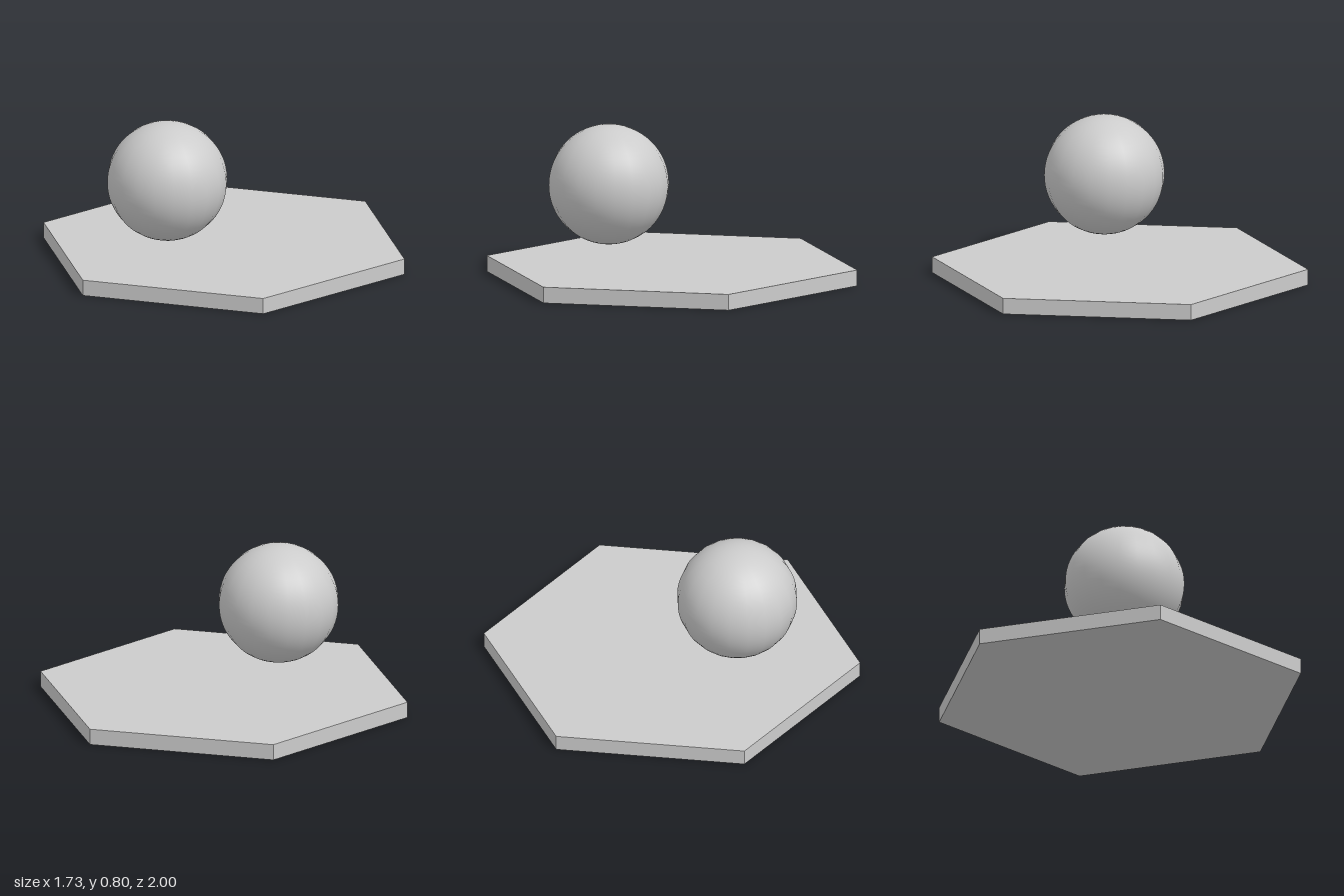
import * as THREE from 'three';

export function createModel() {
  const group = new THREE.Group();

  // Hexagonal slab with its corners on the z axis
  const slabHeight = 0.085;
  const slab = new THREE.Mesh(
    new THREE.CylinderGeometry(1, 1, slabHeight, 6),
    new THREE.MeshStandardMaterial({ color: 0xcccccc, flatShading: true })
  );
  slab.name = 'hexagonalBase';
  slab.position.y = slabHeight / 2;
  group.add(slab);

  // Smooth ball hovering above the slab, off centre
  const ball = new THREE.Mesh(
    new THREE.SphereGeometry(0.318, 20, 32),
    new THREE.MeshStandardMaterial({ color: 0xcccccc })
  );
  ball.name = 'floatingBall';
  ball.position.set(-0.333, 0.483, 0.13);
  ball.rotation.y = -0.1;
  group.add(ball);

  return group;
}
